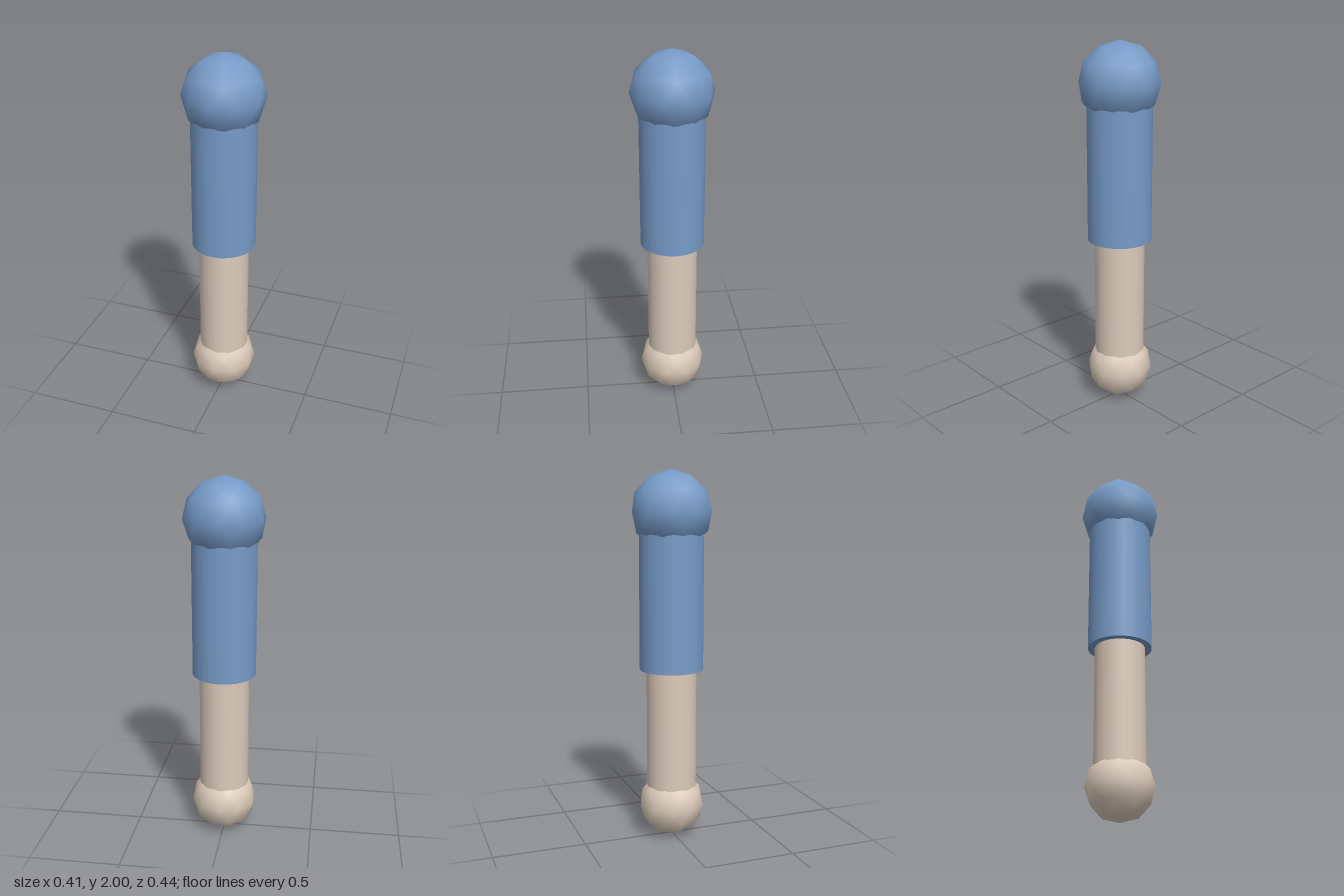
import * as THREE from 'three';

const blue = new THREE.MeshStandardMaterial({ color: 0x779bc8 });
blue.name = 'sleeve blue';
const cream = new THREE.MeshStandardMaterial({ color: 0xdccbba });
cream.name = 'skin cream';

// Coarse smooth ball with one corner pointing straight up
function ball(name, radius, y, material) {
  const geometry = new THREE.IcosahedronGeometry(radius, 1);
  geometry.rotateZ(-Math.atan(2 / (1 + Math.sqrt(5))));
  const mesh = new THREE.Mesh(geometry, material);
  mesh.name = name;
  mesh.position.y = y;
  return mesh;
}

// Upright limb segment between two heights
function limb(name, radius, bottom, top, material) {
  const mesh = new THREE.Mesh(new THREE.CylinderGeometry(radius, radius, top - bottom, 24), material);
  mesh.name = name;
  mesh.position.y = (bottom + top) / 2;
  return mesh;
}

export function createModel() {
  const arm = new THREE.Group();
  arm.name = 'arm';
  const shoulderY = 1.782, elbowY = 0.938, handY = 0.18;
  arm.add(
    ball('shoulder', 0.218, shoulderY, blue),
    limb('upperArm', 0.173, elbowY, shoulderY, blue),
    limb('forearm', 0.136, handY, elbowY + 0.01, cream),
    ball('hand', 0.18, handY, cream)
  );
  return arm;
}
